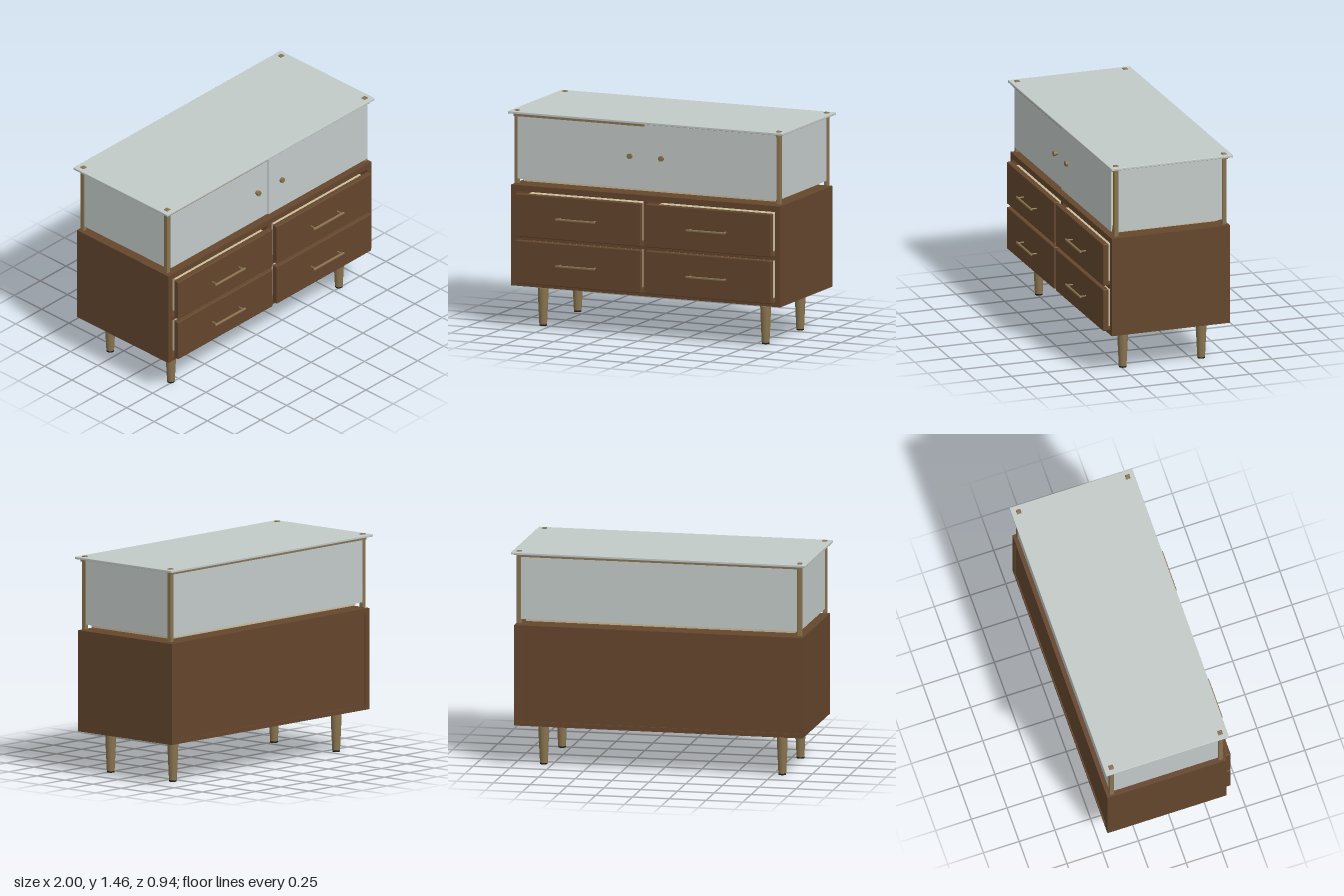
import * as THREE from 'three';
import { RoundedBoxGeometry } from 'three/addons/geometries/RoundedBoxGeometry.js';

export function createModel() {
  const mat = (name, color) => {
    const m = new THREE.MeshStandardMaterial({ color });
    m.name = name;
    return m;
  };
  const wood = mat('dark wood', 0x64462d);
  const brass = mat('brushed brass', 0x88734f);
  const glass = mat('frosted glass', 0xc2cac8);
  const cream = mat('pale wood', 0xc9bd9c);
  const rubber = mat('black rubber', 0x1c1a18);

  const model = new THREE.Group();
  model.name = 'sideboard';

  const add = (name, geo, material, x = 0, y = 0, z = 0, parent = model) => {
    const m = new THREE.Mesh(geo, material);
    m.name = name;
    m.position.set(x, y, z);
    parent.add(m);
    return m;
  };
  // Box given by its limits on each axis; r rounds the edges
  const box = (name, material, [x0, x1], [y0, y1], [z0, z1], r = 0) => {
    const s = [x1 - x0, y1 - y0, z1 - z0];
    const geo = r ? new RoundedBoxGeometry(...s, 2, r) : new THREE.BoxGeometry(...s);
    return add(name, geo, material, (x0 + x1) / 2, (y0 + y1) / 2, (z0 + z1) / 2);
  };

  // Carcass: sides, top, bottom, recessed back and dividers
  const depth = [-0.46, 0.375];
  box('leftSide', wood, [0.94, 0.98], [0.28, 0.96], depth);
  box('rightSide', wood, [-0.98, -0.94], [0.28, 0.96], depth);
  box('cabinetTop', wood, [-0.94, 0.94], [0.92, 0.96], depth);
  box('cabinetBottom', wood, [-0.94, 0.94], [0.28, 0.31], depth);
  box('backPanel', wood, [-0.94, 0.94], [0.31, 0.92], [-0.452, -0.435]);
  box('centreDivider', wood, [-0.018, 0.018], [0.31, 0.92], [-0.435, 0.37]);
  for (const s of [-1, 1]) {
    const span = s > 0 ? [0.018, 0.94] : [-0.94, -0.018];
    box('drawerRail', wood, span, [0.592, 0.622], [-0.435, 0.37]);
  }

  // Drawers: pale box, wooden front and bar handle
  for (const [y0, handleY] of [[0.305, 0.45], [0.62, 0.765]]) {
    for (const s of [-1, 1]) {
      const cx = s * 0.475;
      box('drawerBox', cream, [cx - 0.42, cx + 0.42], [y0 + 0.02, y0 + 0.27], [-0.4, 0.38]);
      box('drawerFront', wood, [cx - 0.457, cx + 0.457], [y0, y0 + 0.29], [0.38, 0.42], 0.006);
      const handle = new THREE.Group();
      handle.name = 'drawerHandle';
      handle.position.set(cx, handleY, 0);
      model.add(handle);
      add('handleBar', new RoundedBoxGeometry(0.29, 0.014, 0.014, 2, 0.004), brass, 0, 0, 0.463, handle);
      for (const hx of [-0.127, 0.127]) {
        const post = add('handlePost', new THREE.CylinderGeometry(0.005, 0.005, 0.045, 12), brass, hx, 0, 0.44, handle);
        post.rotation.x = Math.PI / 2;
      }
    }
  }

  // Tapered legs with rubber feet
  const legProfile = [[0, 0.01], [0.026, 0.01], [0.035, 0.2], [0.036, 0.255], [0, 0.255]]
    .map(([r, y]) => new THREE.Vector2(r, y));
  for (const x of [-0.81, 0.81]) {
    for (const z of [-0.317, 0.237]) {
      // Separate side and caps keep the rims sharp
      add('leg', new THREE.LatheGeometry(legProfile.slice(1, 4), 24), brass, x, 0, z);
      add('legTop', new THREE.CylinderGeometry(0.036, 0.036, 0.002, 24), brass, x, 0.254, z);
      add('foot', new THREE.CylinderGeometry(0.025, 0.025, 0.01, 24), rubber, x, 0.005, z);
    }
  }

  // Display case: corner posts with caps through the top
  for (const x of [-0.953, 0.953]) {
    for (const z of [-0.425, 0.338]) {
      box('cornerPost', brass, [x - 0.015, x + 0.015], [0.965, 1.45], [z - 0.015, z + 0.015], 0.004);
      box('postCap', brass, [x - 0.016, x + 0.016], [1.45, 1.461], [z - 0.016, z + 0.016], 0.004);
    }
    box('sideGlass', glass, [x - 0.005, x + 0.005], [1.0, 1.432], [-0.41, 0.323]);
  }
  box('topGlass', glass, [-1, 1], [1.439, 1.455], [-0.475, 0.385], 0.003);
  box('shelf', cream, [-0.915, 0.915], [0.978, 1.0], [-0.395, 0.315]);
  box('backGlass', glass, [-0.938, 0.938], [1.0, 1.425], [-0.435, -0.425]);
  box('frontRail', brass, [-0.965, 0.965], [1.422, 1.439], [0.35, 0.368]);
  box('backRail', brass, [-0.965, 0.965], [1.422, 1.439], [-0.45, -0.432]);

  // Sliding doors and their knobs
  box('rightDoor', glass, [-0.94, -0.01], [1.0, 1.422], [0.35, 0.36]);
  box('leftDoor', glass, [-0.01, 0.945], [1.0, 1.436], [0.36, 0.37]);
  for (const x of [-0.115, 0.113]) {
    const stem = add('knobStem', new THREE.CylinderGeometry(0.012, 0.012, 0.02, 20), brass, x, 1.217, 0.365);
    const knob = add('knob', new THREE.CylinderGeometry(0.018, 0.018, 0.017, 24), brass, x, 1.217, 0.381);
    stem.rotation.x = knob.rotation.x = Math.PI / 2;
  }
  return model;
}
